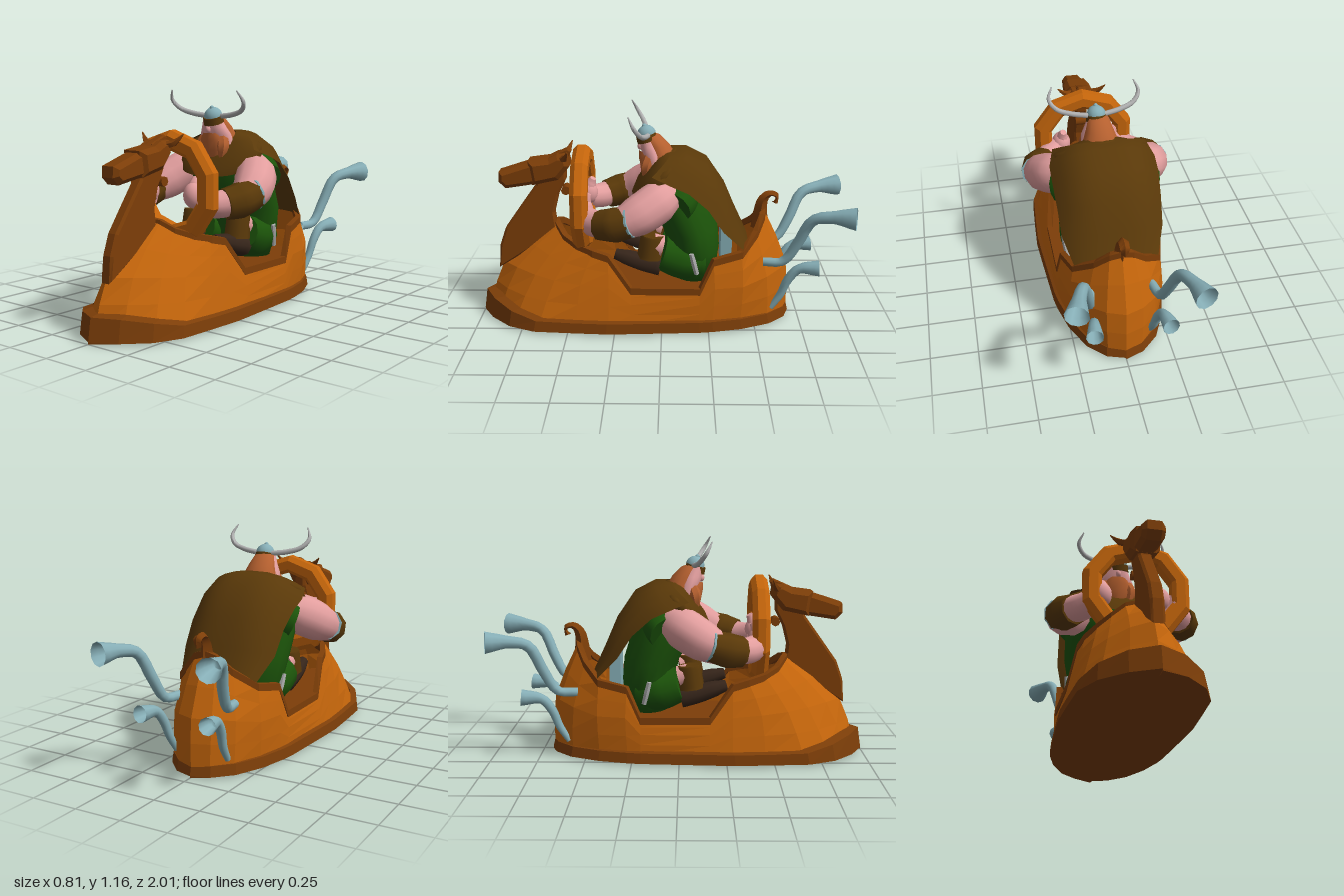
import * as THREE from 'three';
import { toCreasedNormals } from 'three/addons/utils/BufferGeometryUtils.js';

const V = (x, y, z) => new THREE.Vector3(x, y, z);
const mat = (name, color, side = THREE.FrontSide) => new THREE.MeshStandardMaterial({ name, color, side });

// Flat facets
function flat(geo) {
  const g = geo.index ? geo.toNonIndexed() : geo;
  g.computeVertexNormals();
  return g;
}

// Surface through rows of points
function grid(rows, closed = false) {
  const n = rows[0].length, pos = [], idx = [];
  rows.forEach(r => r.forEach(p => pos.push(p.x, p.y, p.z)));
  for (let i = 0; i < rows.length - 1; i++) {
    for (let j = 0; j < (closed ? n : n - 1); j++) {
      const k = (j + 1) % n, a = i * n + j, d = i * n + k, b = a + n, c = d + n;
      idx.push(a, d, c, a, c, b);
    }
  }
  const g = new THREE.BufferGeometry();
  g.setAttribute('position', new THREE.Float32BufferAttribute(pos, 3));
  g.setIndex(idx);
  g.computeVertexNormals();
  return g;
}

// Elliptical ring, tilted around x
function ellipse([y, z, rx, rz, tilt = 0], n = 20) {
  return Array.from({ length: n }, (_, i) => {
    const a = i / n * Math.PI * 2, c = Math.cos(a) * rz;
    return V(Math.sin(a) * rx, y - c * Math.sin(tilt), z + c * Math.cos(tilt));
  });
}

// Tapered tube through points, one radius per point
function sweep(points, radii, sides = 10, capped = true, n = 16) {
  const curve = new THREE.CatmullRomCurve3(points.map(p => V(...p)));
  const g = new THREE.TubeGeometry(curve, n, 1, sides), pos = g.attributes.position;
  for (let i = 0; i <= n; i++) {
    const t = capped ? THREE.MathUtils.clamp((i - 1) / (n - 2), 0, 1) : i / n;
    const f = t * (radii.length - 1), k = Math.min(Math.floor(f), radii.length - 2);
    const r = capped && (i === 0 || i === n) ? 0 : THREE.MathUtils.lerp(radii[k], radii[k + 1], f - k);
    const from = curve.getPointAt(i / n), to = curve.getPoint(t);
    for (let j = 0; j <= sides; j++) {
      const v = V(0, 0, 0).fromBufferAttribute(pos, i * (sides + 1) + j).sub(from).multiplyScalar(r).add(to);
      pos.setXYZ(i * (sides + 1) + j, v.x, v.y, v.z);
    }
  }
  return toCreasedNormals(g, 0.8);
}

// Side outline of [z, y] points given a thickness along x
function sideCut(outline, width, bevel = 0.012) {
  const g = new THREE.ExtrudeGeometry(new THREE.Shape(outline.map(p => new THREE.Vector2(...p))), {
    depth: width - bevel * 2, bevelSize: bevel, bevelThickness: bevel, bevelOffset: -bevel, bevelSegments: 1 });
  g.translate(0, 0, bevel - width / 2).rotateY(-Math.PI / 2);
  return flat(g);
}

export function createModel() {
  const D = THREE.DoubleSide;
  const orange = mat('orange wood', 0xc4650b, D), dark = mat('dark wood', 0x7d3e08, D);
  const brown = mat('brown cloth', 0x5a3909, D), green = mat('green cloth', 0x1c540a);
  const skin = mat('skin', 0xe29e9e), ivory = mat('grey horn', 0xb0b0b0);
  const steel = mat('blue steel', 0x86aeb6, D), hair = mat('red hair', 0xb5602f), leather = mat('dark leather', 0x36251a);
  const model = new THREE.Group();
  const add = (name, geo, m, x = 0, y = 0, z = 0) => {
    const mesh = new THREE.Mesh(geo, m);
    mesh.name = name;
    mesh.position.set(x, y, z);
    model.add(mesh);
    return mesh;
  };
  const ball = (name, m, p, s) => add(name, new THREE.SphereGeometry(1, 16, 12).scale(...s), m, ...p);

  // Hull columns, bow to stern: bottom x z, middle x y z, top x y z
  const half = [
    [0, .955, 0, .29, .875, 0, .53, .58], [.12, .89, .09, .29, .79, .06, .52, .56],
    [.225, .785, .17, .28, .68, .12, .48, .52], [.285, .65, .225, .27, .57, .175, .45, .45],
    [.30, .45, .262, .26, .43, .22, .43, .36], [.31, .28, .275, .25, .28, .24, .41, .28],
    [.305, .16, .29, .16, .16, .272, .24, .16], [.285, -.2, .285, .16, -.2, .275, .24, -.2],
    [.275, -.27, .28, .25, -.28, .262, .4, -.27], [.24, -.42, .25, .25, -.43, .225, .43, -.42],
    [.175, -.57, .18, .28, -.56, .13, .51, -.5], [.09, -.66, .095, .30, -.645, .06, .58, -.54],
    [0, -.69, 0, .30, -.68, 0, .6, -.55]];
  const other = half.slice(1, -1).reverse().map(c => c.map((v, i) => [0, 2, 5].includes(i) ? -v : v));
  const cols = [...half, ...other].map(c => ({
    b: V(c[0], .05, c[1]), m: V(c[2], c[3], c[4]), t: V(c[5], c[6], c[7]) }));
  const curves = cols.map(c => new THREE.CatmullRomCurve3([c.b, c.m, c.t]));
  add('hull', flat(grid([0, .25, .5, .75, 1].map(t => curves.map(c => c.getPoint(t))), true)), orange);
  add('cockpitFloor', flat(grid([
    cols.map(c => V(c.m.x * .97, .2, c.m.z * .97)), cols.map(c => V(0, .2, c.m.z * .97))], true)), dark);

  // Gunwale around the cockpit
  const edge = (o, h) => cols.map(({ t }) => {
    const d = V(t.x, 0, t.z * .4).normalize();
    return V(t.x + d.x * o, t.y + h, t.z + d.z * o);
  });
  add('gunwale', flat(grid([edge(-.02, -.025), edge(.01, -.025), edge(.01, .012), edge(-.02, .012), edge(-.02, -.025)], true)), dark);

  // Base rim, raised at the bow, with its underside
  const rim = (s, y, lift = 0, sx = s) => cols.map(({ b }) => V(b.x * 1.075 * sx,
    y + lift * THREE.MathUtils.smoothstep(b.z, .6, .95), b.z * s * (b.z > 0 ? 1.047 : 1.015)));
  add('baseRim', flat(grid([rim(1, 0, 0, 0), rim(1, .01), rim(.982, .065, .06), rim(.92, .075, .06)], true)), dark);

  // Carved animal figurehead
  const fx = .014;
  add('figureheadNeck', sideCut([[.895, .27], [.885, .4], [.85, .5], [.765, .62], [.675, .745], [.66, .8], [.51, .85],
    [.513, .775], [.555, .69], [.58, .59], [.57, .5], [.72, .38]], .068), dark, fx);
  add('figureheadSkull', sideCut([[.71, .88], [.6, .895], [.555, .918], [.5, .92], [.488, .855], [.55, .78], [.69, .75]], .15, .025), dark, fx);
  add('figureheadSnout', sideCut([[.66, .88], [.72, .866], [.868, .818], [.872, .765], [.835, .728], [.66, .755]], .115, .022), dark, fx);
  add('forelock', sideCut([[.6, .9], [.5, .945], [.48, .93], [.5, .89]], .05, .008), dark, fx);
  for (const s of [1, -1]) {
    add('figureheadEar', sweep([[s * .04 + fx, .895, .53], [s * .09 + fx, .905, .51], [s * .135 + fx, .95, .49]],
      [.02, .018, .003], 5, true, 6), dark);
  }

  // Ten-sided ring
  const ringProfile = [[.19, -.03], [.21, -.045], [.26, -.045], [.287, -.02], [.287, .02], [.26, .045], [.21, .045], [.19, .03], [.19, -.03]];
  const ring = new THREE.LatheGeometry(ringProfile.map(p => new THREE.Vector2(...p)), 10).rotateX(-Math.PI / 2);
  add('bowRing', flat(ring), orange, .024, .677, .425);
  add('neckPeg', new THREE.CylinderGeometry(.025, .025, .07, 8).rotateZ(Math.PI / 2), dark, .014, .715, .515);

  // Curled stern post
  add('sternCurl', sweep([[0, .5, -.53], [0, .6, -.53], [0, .665, -.545], [0, .69, -.58], [0, .675, -.615], [0, .64, -.605]],
    [.05, .035, .028, .026, .024, .018], 4, true, 14), dark);

  // Flared exhaust pipes
  for (const s of [1, -1]) {
    const upper = [[.16, .36, -.54], [.18, .37, -.64], [.2, .48, -.71], [.235, .62, -.78], [.27, .648, -.88], [.3, .65, -.99]];
    const lower = [[.15, .09, -.59], [.155, .17, -.64], [.165, .26, -.675], [.175, .325, -.73], [.19, .335, -.835]];
    const mirror = pts => pts.map(([x, y, z]) => [x * s, y, z]);
    add('upperExhaust', sweep(mirror(upper), [.024, .025, .028, .029, .033, .06], 10, false), steel);
    add('lowerExhaust', sweep(mirror(lower), [.016, .021, .024, .026, .044], 10, false), steel);
  }
  add('seatBack', new THREE.BoxGeometry(.18, .3, .06), steel, 0, .46, -.345);

  // Rider's torso and shoulder mantle: y, z, half width, half depth, tilt
  add('tunic', grid([[.24, -.17, 0, 0], [.25, -.17, .18, .12], [.4, -.17, .225, .14], [.52, -.15, .25, .15],
    [.66, -.09, .255, .16, .3], [.77, -.04, .25, .16, .4], [.83, -.04, .18, .12, .4]].map(r => ellipse(r)), true), green);
  add('mantle', grid([[.76, .03, .235, .145, .4], [.81, .02, .268, .13, .4], [.86, -.005, .245, .11, .4],
    [.9, -.02, .17, .08, .3], [.93, -.02, .07, .05, .2]].map(r => ellipse(r)), true), brown);

  // Cape down the back: centre y z, edge y z, half width
  const cape = [[.935, -.05, .85, .05, .25], [.937, -.13, .81, -.05, .28], [.88, -.24, .77, -.14, .28],
    [.74, -.335, .68, -.24, .272], [.6, -.395, .56, -.32, .265], [.46, -.46, .445, -.43, .22]];
  add('cape', grid(cape.map(([cy, cz, ey, ez, w]) => Array.from({ length: 13 }, (_, i) => {
    const u = i / 6 - 1, k = Math.abs(u) ** 3;
    return V(u * w, cy + (ey - cy) * k, cz + (ez - cz) * k);
  }))), brown);

  // Head, hair and beard
  add('hair', grid([[.84, -.015, .11, .075], [.9, .0, .095, .075], [.96, .025, .072, .065], [1.01, .06, .052, .05],
    [1.03, .07, 0, 0]].map(r => ellipse(r, 14)), true), hair);
  add('face', grid([[.87, .035, .1, .055], [.92, .05, .095, .06], [.96, .064, .073, .055], [1.01, .08, .05, .045]]
    .map(r => ellipse(r, 14)), true), skin);
  ball('nose', skin, [0, .95, .115], [.015, .02, .017]);
  add('beard', grid([[.765, .085, 0, 0], [.79, .08, .045, .025], [.84, .075, .075, .04], [.89, .07, .082, .055], [.93, .075, .055, .048]]
    .map(r => ellipse(r, 12)), true), hair);
  for (const s of [1, -1]) {
    add('beardLock', sweep([[s * .05, .91, .06], [s * .07, .86, .08], [s * .06, .765, .09]], [.035, .036, .006], 7, true, 8), hair);
  }

  // Horned helmet
  const dome = add('helmetDome', new THREE.SphereGeometry(.05, 12, 7, 0, Math.PI * 2, 0, Math.PI / 2), steel, .008, 1.016, .082);
  const band = add('helmetBand', new THREE.CylinderGeometry(.052, .056, .036, 12), brown, .008, 1.0, .083);
  dome.rotation.x = band.rotation.x = .3;
  ball('helmetKnob', steel, [.008, 1.062, .095], [.012, .012, .012]);
  for (const s of [1, -1]) {
    add('helmetHorn', sweep([[.04, 1.018, .075], [.13, 1.03, .09], [.205, 1.055, .11], [.237, 1.1, .14], [.215, 1.155, .168]]
      .map(([x, y, z]) => [x * s + .01, y, z]), [.014, .014, .013, .011, .003], 8, true, 20), ivory);
  }

  // Arms and legs
  for (const s of [1, -1]) {
    const limb = (name, m, pts, radii, sides = 12) =>
      add(name, sweep(pts.map(([x, y, z]) => [x * s, y, z]), radii, sides, true, 12), m);
    limb('sleeve', green, [[.14, .75, -.09], [.2, .71, -.09], [.235, .69, -.07]], [.1, .1, .09]);
    limb('upperArm', skin, [[.18, .75, -.05], [.24, .715, .02], [.295, .66, .12], [.318, .62, .21]], [.08, .11, .105, .08]);
    limb('armCuff', brown, [[.325, .64, .16], [.308, .615, .24], [.27, .6, .32]], [.082, .092, .08], 9);
    limb('cuffTrim', steel, [[.328, .645, .15], [.325, .642, .16]], [.085, .085], 9);
    limb('forearm', skin, [[.3, .61, .28], [.24, .6, .35], [.17, .615, .42]], [.07, .07, .065]);
    ball('hand', skin, [s * .15, .645, .415], [.052, .065, .055]);
    limb('thumb', skin, [[.14, .66, .41], [.145, .7, .4], [.14, .73, .385]], [.035, .03, .018], 8);
    limb('thigh', green, [[.1, .36, -.2], [.13, .37, -.1], [.14, .4, .0]], [.11, .115, .095]);
    limb('hemTrim', ivory, [[.232, .43, -.155], [.225, .37, -.17], [.215, .31, -.185]], [.014, .016, .014], 6);
    limb('knee', skin, [[.145, .44, .0], [.15, .455, .05]], [.06, .058]);
    limb('bootCuff', brown, [[.15, .505, .05], [.15, .38, .065]], [.06, .07], 9);
    limb('boot', leather, [[.15, .33, .01], [.15, .35, .1], [.15, .375, .18], [.145, .395, .25]], [.058, .052, .045, .03], 8);
  }
  return model;
}
